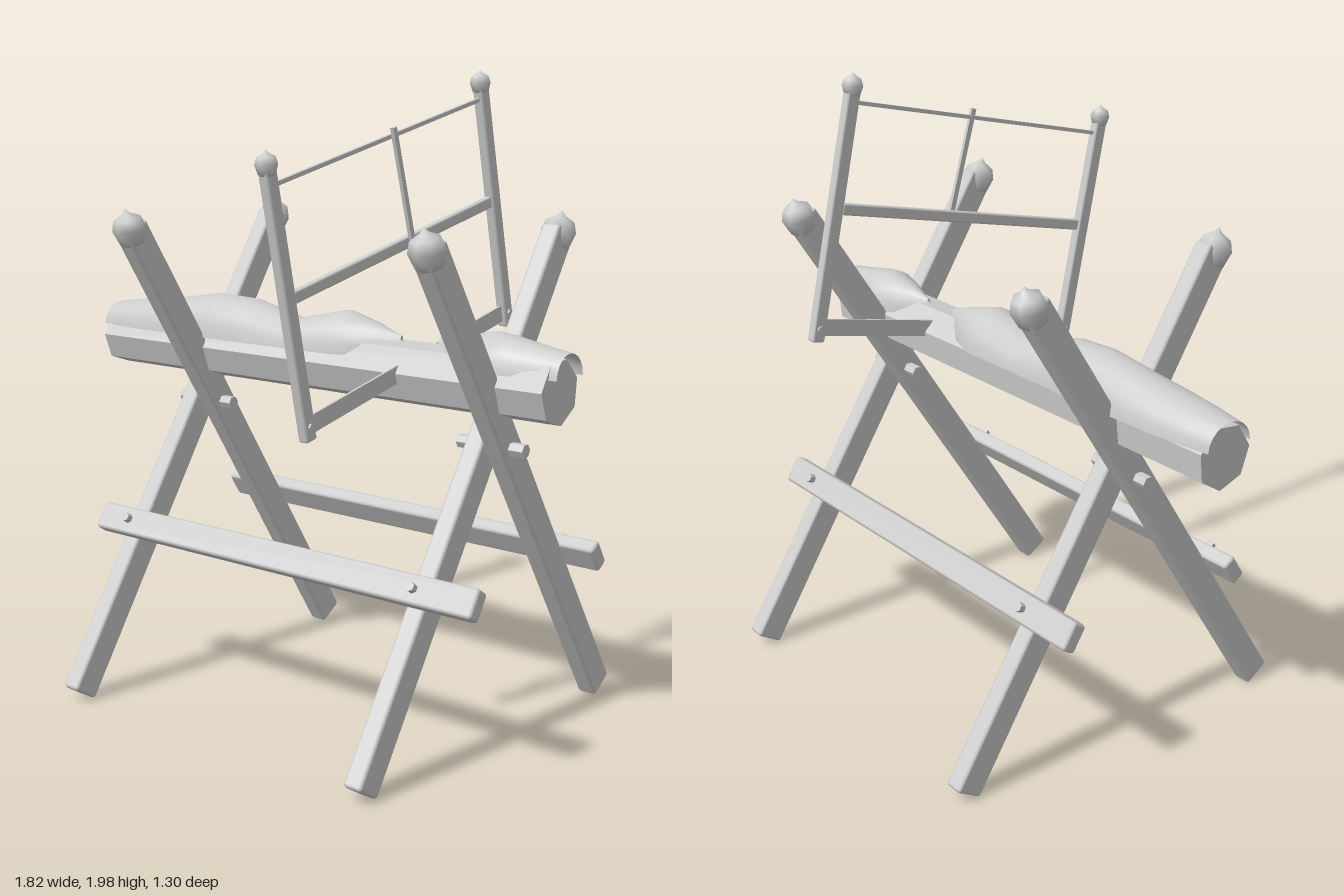
import * as THREE from 'three';
import { RoundedBoxGeometry } from 'three/addons/geometries/RoundedBoxGeometry.js';

const grey = new THREE.MeshStandardMaterial({ color: 0xcccccc });
grey.name = 'plain grey';
const greySheet = new THREE.MeshStandardMaterial({ color: 0xcccccc, side: THREE.DoubleSide });
greySheet.name = 'plain grey sheet';
const greyFlat = new THREE.MeshStandardMaterial({ color: 0xcccccc, flatShading: true });
greyFlat.name = 'plain grey faceted';

export function createModel() {
  const model = new THREE.Group();
  model.name = 'sawhorse';

  const add = (name, geometry, material, x, y, z, tilt = 0) => {
    const mesh = new THREE.Mesh(geometry, material);
    mesh.name = name;
    mesh.position.set(x, y, z);
    mesh.rotation.x = tilt;
    model.add(mesh);
    return mesh;
  };

  // Bar between two [z, y] points, with chamfered edges
  const bar = (name, x, [z0, y0], [z1, y1], width, depth, chamfer) => add(
    name,
    chamfer
      ? new RoundedBoxGeometry(width, Math.hypot(z1 - z0, y1 - y0), depth, 1, chamfer)
      : new THREE.BoxGeometry(width, Math.hypot(z1 - z0, y1 - y0), depth),
    grey, x, (y0 + y1) / 2, (z0 + z1) / 2, Math.atan2(z1 - z0, y1 - y0));

  // Snow knob with a small peak
  const cap = (name, x, y, z, r, tilt) => {
    const profile = [[0, -1.1], [0.72, -1.0], [1, -0.1], [0.8, 0.5], [0.25, 0.8], [0, 1.1]]
      .map(([a, b]) => new THREE.Vector2(a * r, b * r));
    add(name, new THREE.LatheGeometry(profile, 7), grey, x, y, z, tilt);
  };

  const peg = (name, x, y, z, r, length, tilt) =>
    add(name, new THREE.CylinderGeometry(r, r, length, 6), greyFlat, x, y, z, tilt);

  // Crossed legs: one pair leans back, the other leans forward about z = -0.035
  const mid = -0.035, lean = Math.atan2(0.955, 1.49);
  for (const [side, xs] of [[1, [-0.52, 0.63]], [-1, [-0.445, 0.695]]]) {
    for (const x of xs) {
      bar('leg', x, [mid + side * 0.572, 0.032], [mid - side * 0.378, 1.514], 0.063, 0.095, 0.01);
      cap('legSnowCap', x, 1.515, mid - side * 0.383, 0.055, -side * lean * 0.5);
      // Bolt heads holding the rail
      peg('railBolt', x + 0.004, 0.567, mid + side * 0.352, 0.015, 0.02, side * (Math.PI / 2 - lean));
    }
    // Long rail on the outside of the legs
    const rail = add('rail', new RoundedBoxGeometry(1.49, 0.09, 0.05, 1, 0.01), grey,
      0.095, 0.545, mid + side * 0.322, -side * lean);
    rail.rotation.z = side * 0.003;
  }

  // Pivot bolts through each crossing
  for (const x of [-0.482, 0.66]) {
    peg('pivotBolt', x, 0.915, mid, 0.021, 0.23, 0).rotation.z = Math.PI / 2;
  }

  // Seven-sided log
  const logShape = new THREE.Shape(Array.from({ length: 7 }, (_, i) => {
    const a = THREE.MathUtils.degToRad(6) + i * Math.PI * 2 / 7;
    return new THREE.Vector2(-Math.cos(a) * 0.097, Math.sin(a) * 0.097);
  }));
  const log = add('log', new THREE.ExtrudeGeometry(logShape, { depth: 1.765, bevelEnabled: false }),
    greyFlat, -0.885, 1.097, mid);
  log.rotation.y = Math.PI / 2;

  // Snow blanket: arches of [x, half width, peak height] lofted along the log
  const snow = (name, rows) => {
    const arc = 10, position = [], index = [];
    rows.forEach(([x, w, top], r) => {
      for (let i = 0; i <= arc; i++) {
        const a = i / arc * Math.PI;
        const s = Math.sin(a);
        position.push(x, 1.14 + (top - 1.14) * s, mid - 0.01 + Math.cos(a) * w);
        if (r && i) {
          const q = r * (arc + 1) + i, p = q - arc - 1;
          index.push(p - 1, q - 1, q, p - 1, q, p);
        }
      }
    });
    const geometry = new THREE.BufferGeometry();
    geometry.setAttribute('position', new THREE.Float32BufferAttribute(position, 3));
    geometry.setIndex(index);
    geometry.computeVertexNormals();
    add(name, geometry, greySheet, 0, 0, 0);
  };
  snow('longSnow', [[-0.91, 0.08, 1.212], [-0.82, 0.092, 1.225], [-0.7, 0.105, 1.238], [-0.56, 0.107, 1.255],
    [-0.42, 0.107, 1.277], [-0.28, 0.107, 1.27], [-0.09, 0.106, 1.222], [0.11, 0.105, 1.265],
    [0.22, 0.068, 1.238], [0.32, 0.012, 1.205]]);
  snow('shortSnow', [[0.46, 0.012, 1.205], [0.56, 0.065, 1.23], [0.66, 0.097, 1.25],
    [0.72, 0.095, 1.243], [0.8, 0.078, 1.228], [0.905, 0.07, 1.21]]);

  // Bow saw standing in the log
  const sx = 0.373;
  const posts = [[[0.453, 0.97], [0.62, 1.73]], [[-0.533, 1.19], [-0.36, 1.95]]];
  for (const [foot, head] of posts) {
    bar('sawPost', sx, foot, head, 0.034, 0.044, 0.007);
    cap('sawPostSnowCap', sx, head[1] + 0.008, head[0], 0.033, 0.1);
    peg('bladeRivet', sx, foot[1] + 0.042, foot[0] + 0.009, 0.011, 0.046, 0).rotation.z = Math.PI / 2;
  }
  bar('sawCrossbar', sx, [0.52, 1.375], [-0.42, 1.59], 0.024, 0.036, 0.006);
  bar('sawCord', sx, [0.59, 1.682], [-0.36, 1.905], 0.012, 0.012, 0);
  bar('sawToggle', sx + 0.016, [0.097, 1.825], [0.002, 1.5], 0.012, 0.017, 0);
  bar('sawBlade', sx, [0.46, 1.01], [-0.525, 1.235], 0.008, 0.052, 0);

  return model;
}
